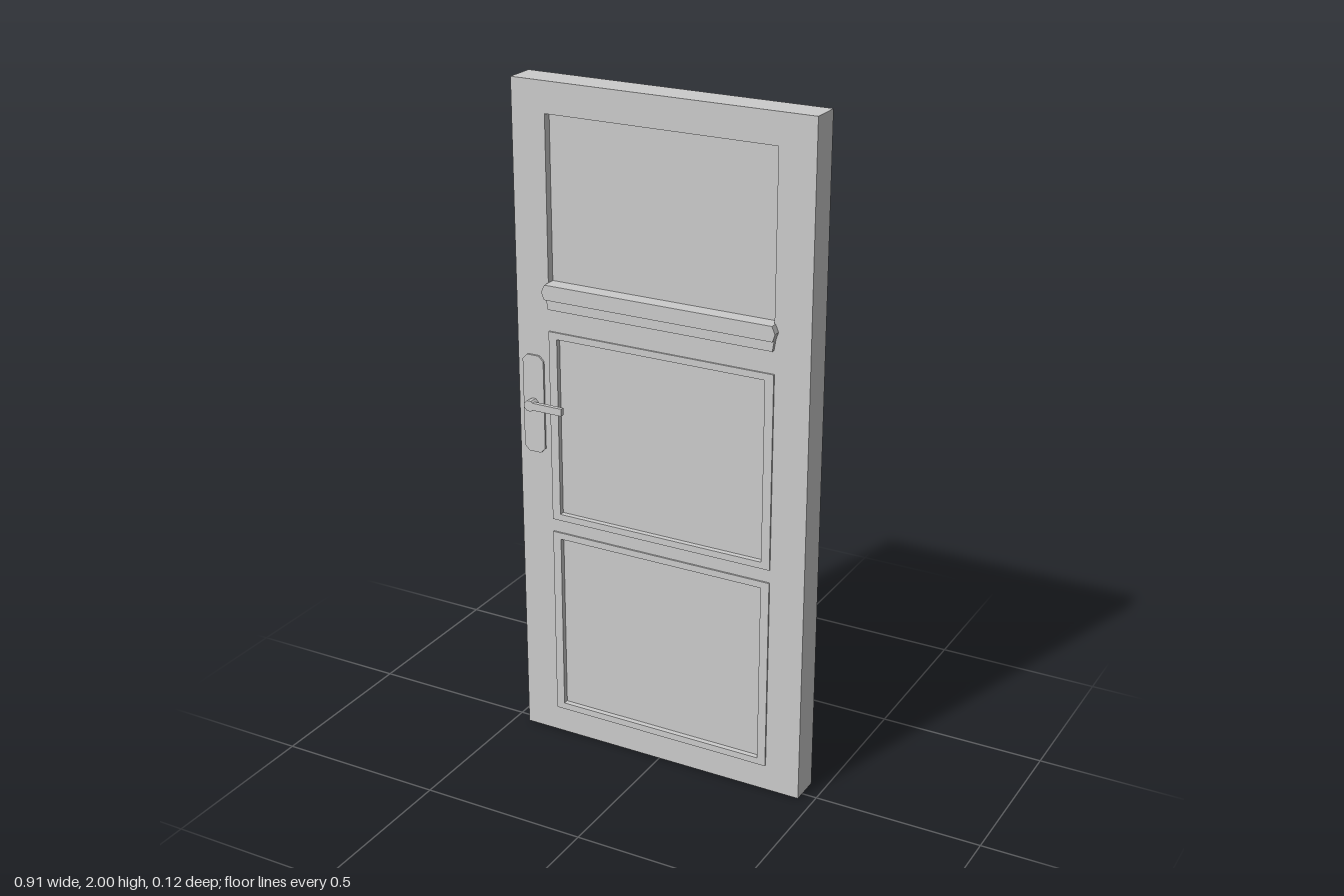
import * as THREE from 'three';

const material = new THREE.MeshStandardMaterial({ color: 0xcccccc, flatShading: true, side: THREE.DoubleSide });

// depths of the pressed shell
const BACK = -0.0625, FACE = 0.029, PANE = 0.005;

const rect = (x0, y0, x1, y1) => [[x0, y0], [x1, y0], [x1, y1], [x0, y1]];

// rectangle with chamfered corners
const chamfered = (x0, y0, x1, y1, c) => [
  [x0 + c, y0], [x1 - c, y0], [x1, y0 + c], [x1, y1 - c],
  [x1 - c, y1], [x0 + c, y1], [x0, y1 - c], [x0, y0 + c],
];

const ring = (cx, cy, r, n) => Array.from({ length: n }, (_, i) => {
  const a = ((i + 0.5) / n) * Math.PI * 2;
  return [cx + r * Math.cos(a), cy + r * Math.sin(a)];
});

const vectors = (pts) => pts.map(([x, y]) => new THREE.Vector2(x, y));

// flat sheet with holes, facing the front
function sheet(outline, z, holes = []) {
  const shape = new THREE.Shape(vectors(outline));
  holes.forEach((h) => shape.holes.push(new THREE.Path(vectors(h))));
  return new THREE.ShapeGeometry(shape).translate(0, 0, z);
}

// wall running round an outline from z0 to z1
function wall(outline, z0, z1) {
  const pos = [];
  outline.forEach(([ax, ay], i) => {
    const [bx, by] = outline[(i + 1) % outline.length];
    pos.push(ax, ay, z0, bx, by, z0, bx, by, z1);
    pos.push(ax, ay, z0, bx, by, z1, ax, ay, z1);
  });
  const g = new THREE.BufferGeometry();
  g.setAttribute('position', new THREE.Float32BufferAttribute(pos, 3));
  g.computeVertexNormals();
  return g;
}

function part(name, ...geometries) {
  const group = new THREE.Group();
  group.name = name;
  geometries.forEach((g) => {
    const mesh = new THREE.Mesh(g, material);
    mesh.name = name + 'Surface';
    group.add(mesh);
  });
  return group;
}

export function createModel() {
  const model = new THREE.Group();
  model.name = 'door';

  const leaf = rect(-0.455, 0, 0.455, 2);
  const windowRect = rect(-0.35, 1.432, 0.347, 1.91);
  const sill = [[-0.352, 1.388], [0.352, 1.388], [0.359, 1.41], [0.35, 1.432], [-0.35, 1.432], [-0.361, 1.41]];
  const lip = [[-0.347, 1.357], [0.347, 1.357], [0.352, 1.388], [-0.352, 1.388]];
  const plate = chamfered(-0.438, 0.913, -0.37, 1.21, 0.015);
  const spindle = ring(-0.404, 1.064, 0.016, 8);
  const panels = [[0.08, 0.67], [0.71, 1.29]];
  const panelOuter = ([y0, y1]) => rect(-0.35, y0, 0.35, y1);

  // one opening for the window, the sill and its lip
  const opening = [
    [-0.347, 1.357], [0.347, 1.357], [0.352, 1.388], [0.359, 1.41], [0.347, 1.432],
    [0.347, 1.91], [-0.35, 1.91], [-0.35, 1.432], [-0.361, 1.41], [-0.352, 1.388],
  ];

  // hollow leaf, open at the back
  model.add(part('doorLeaf',
    sheet(leaf, FACE, [opening, plate, ...panels.map(panelOuter)]),
    wall(leaf, BACK, FACE)));

  // recessed window pane
  model.add(part('windowPane', sheet(windowRect, PANE), wall(windowRect, PANE, FACE)));

  // projecting sill with pointed ends and the lip beneath
  model.add(part('windowSill', sheet(sill, 0.051), wall(sill, FACE, 0.051)));
  model.add(part('sillLip', sheet(lip, 0.04), wall(lip, FACE, 0.04)));

  // raised mouldings round the sunken lower panels
  panels.forEach(([y0, y1], i) => {
    const outer = panelOuter([y0, y1]);
    const inner = rect(-0.324, y0 + 0.02, 0.324, y1 - 0.02);
    const name = i ? 'middlePanel' : 'lowerPanel';
    model.add(part(name + 'Moulding',
      sheet(outer, 0.034, [inner]), wall(outer, FACE, 0.034), wall(inner, 0.018, 0.034)));
    model.add(part(name, sheet(inner, 0.018)));
  });

  // handle plate, spindle and lever
  model.add(part('handlePlate', sheet(plate, 0.035, [spindle]), wall(plate, FACE, 0.035)));
  model.add(part('handleSpindle', wall(spindle, 0.035, 0.05)));
  const lever = [
    ...ring(-0.404, 1.064, 0.017, 8).slice(0, 7),
    [-0.392, 1.053], [-0.297, 1.053], [-0.297, 1.075], [-0.392, 1.075],
  ];
  // start the outline at the upper side of the round end
  lever.shift();
  model.add(part('handleLever', sheet(lever, 0.05), sheet(lever, 0.0625), wall(lever, 0.05, 0.0625)));

  return model;
}
